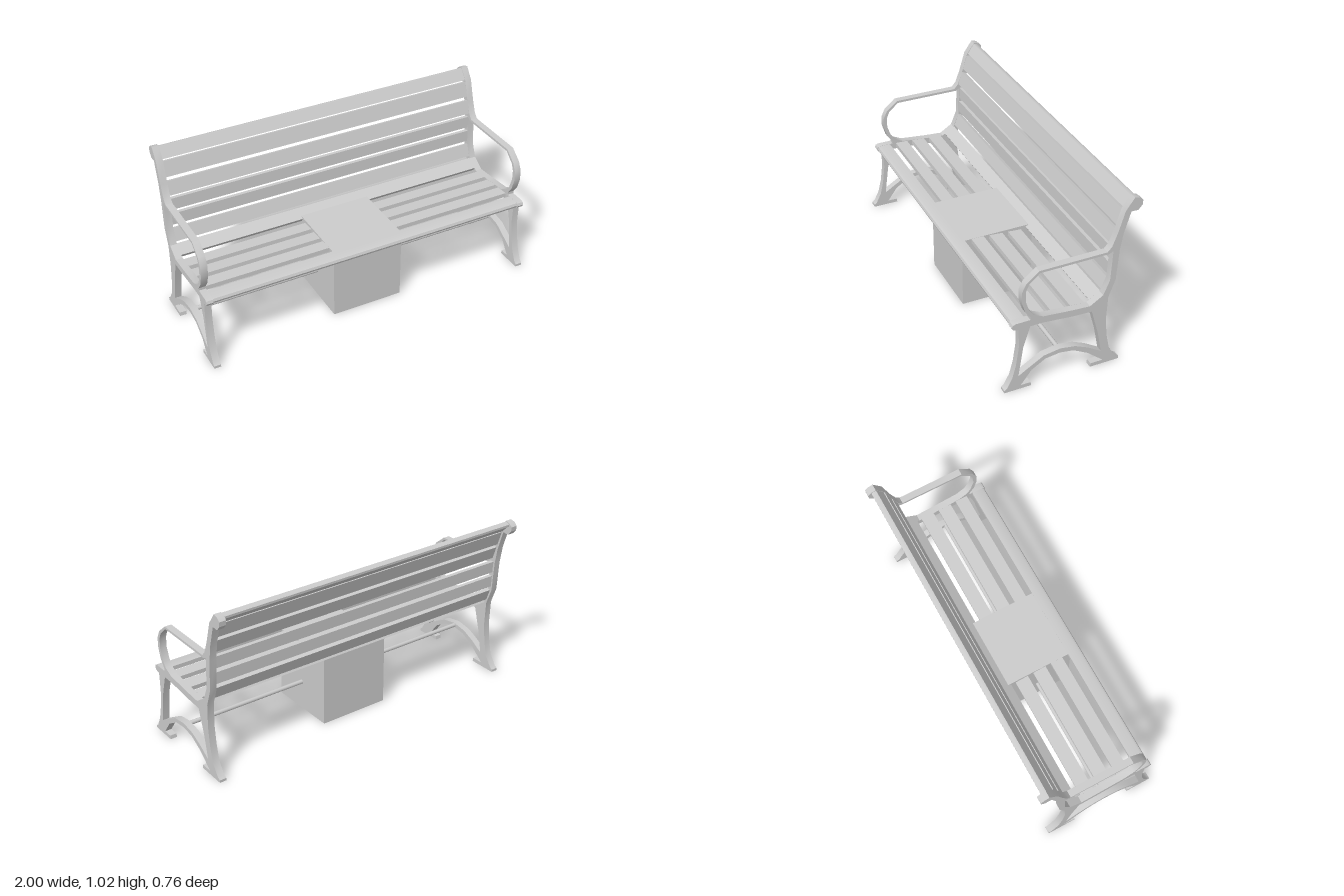
import * as THREE from 'three';
import { toCreasedNormals } from 'three/addons/utils/BufferGeometryUtils.js';

const material = new THREE.MeshStandardMaterial({ color: 0xcccccc });
const points = (list) => list.map(([z, y]) => new THREE.Vector2(z, y));

// Extrude a (z, y) side profile along x, centred on x = cx
function profile(name, outline, holes, width, cx = 0) {
  const shape = new THREE.Shape(points(outline));
  for (const hole of holes) shape.holes.push(new THREE.Path(points(hole)));
  const extruded = new THREE.ExtrudeGeometry(shape, { depth: width, bevelEnabled: false });
  extruded.rotateY(-Math.PI / 2).translate(cx + width / 2, 0, 0);
  const mesh = new THREE.Mesh(toCreasedNormals(extruded, 0.55), material);
  mesh.name = name;
  return mesh;
}

// Flat slat whose visible face runs from a to b in (z, y); the body lies behind it
function slat(name, a, b, thickness, length) {
  const dz = b[0] - a[0], dy = b[1] - a[1], w = Math.hypot(dz, dy);
  const nz = -dy / w * thickness, ny = dz / w * thickness;
  return profile(name, [a, b, [b[0] + nz, b[1] + ny], [a[0] + nz, a[1] + ny]], [], length);
}

// Cast end frame: legs, feet, seat rail, back post and armrest in one outline
const frameOutline = [
  [0.38, 0], [0.38, 0.015], [0.365, 0.025], [0.335, 0.085], [0.315, 0.165], [0.3, 0.28], [0.303, 0.395],
  [0.32, 0.395], [0.335, 0.402], [0.342, 0.415], [0.335, 0.43], [0.32, 0.436], [0.237, 0.436], [0.237, 0.452],
  [0.268, 0.495], [0.288, 0.56], [0.288, 0.62], [0.264, 0.67], [0.195, 0.727], [-0.19, 0.727],
  [-0.215, 0.755], [-0.242, 0.825], [-0.28, 0.95], [-0.328, 1.017], [-0.358, 1.01], [-0.377, 0.992],
  [-0.375, 0.965], [-0.352, 0.938], [-0.313, 0.94], [-0.277, 0.82], [-0.26, 0.72], [-0.248, 0.54],
  [-0.211, 0.44], [-0.205, 0.3], [-0.215, 0.19], [-0.236, 0.09], [-0.28, 0.025], [-0.298, 0.015], [-0.298, 0],
  [-0.125, 0], [-0.128, 0.022], [-0.2, 0.023], [-0.105, 0.103], [-0.02, 0.15], [0.06, 0.163],
  [0.145, 0.152], [0.225, 0.103], [0.285, 0.022], [0.228, 0.022], [0.225, 0],
];
const armOpening = [
  [0.165, 0.436], [0.22, 0.463], [0.245, 0.498], [0.266, 0.56], [0.266, 0.62], [0.25, 0.66], [0.19, 0.713],
  [-0.2, 0.713], [-0.224, 0.725], [-0.215, 0.545], [-0.18, 0.46], [-0.105, 0.413], [0, 0.42],
];
const legOpening = [
  [0.3, 0.088], [0.275, 0.27], [0.237, 0.396], [0.165, 0.396], [0, 0.38], [-0.118, 0.374], [-0.16, 0.225],
  [-0.187, 0.088], [-0.105, 0.14], [-0.03, 0.175], [0.06, 0.19], [0.155, 0.175], [0.24, 0.125],
];

export function createModel() {
  const bench = new THREE.Group();
  bench.name = 'bench';
  const length = 1.92;

  for (const [side, x] of [['left', 0.98], ['right', -0.98]]) {
    bench.add(profile(side + 'EndFrame', frameOutline, [armOpening, legOpening], 0.04, x));
  }

  // Seat slats, following the dip of the seat rail, the last one tilted up to the back
  const seat = [
    [[0.215, 0.434], [0.14, 0.432]],
    [[0.105, 0.429], [0.025, 0.422]],
    [[-0.01, 0.42], [-0.09, 0.414]],
    [[-0.12, 0.423], [-0.183, 0.462]],
  ];
  seat.forEach(([a, b], i) => bench.add(slat('seatSlat' + (i + 1), a, b, 0.025, length)));
  bench.add(profile('frontSeatSlat', [
    [0.255, 0.435], [0.318, 0.435], [0.33, 0.43], [0.336, 0.416], [0.331, 0.403], [0.318, 0.397],
    [0.305, 0.4], [0.3, 0.41], [0.255, 0.41],
  ], [], length));

  // Backrest slats set into the front of the posts
  const back = [
    [[-0.188, 0.472], [-0.215, 0.545]],
    [[-0.219, 0.565], [-0.222, 0.635]],
    [[-0.223, 0.66], [-0.227, 0.73]],
    [[-0.219, 0.757], [-0.245, 0.835]],
    [[-0.252, 0.857], [-0.28, 0.943]],
  ];
  back.forEach(([a, b], i) => bench.add(slat('backSlat' + (i + 1), a, b, 0.022, length)));
  bench.add(profile('topBackSlat', [
    [-0.286, 0.953], [-0.326, 1.011], [-0.342, 1.01], [-0.355, 1.001], [-0.354, 0.988], [-0.342, 0.982],
    [-0.306, 0.944],
  ], [], length));

  // Tie rod between the leg arches
  const rod = new THREE.Mesh(new THREE.CylinderGeometry(0.0125, 0.0125, length, 12), material);
  rod.rotation.z = Math.PI / 2;
  rod.position.set(0, 0.177, 0.06);
  rod.name = 'tieRod';
  bench.add(rod);

  // Solid box under the middle of the seat, its lid level with the front slat
  const box = new THREE.Mesh(new THREE.BoxGeometry(0.43, 0.434, 0.43), material);
  box.position.set(0, 0.217, 0.057);
  box.name = 'centreBox';
  bench.add(box);

  return bench;
}
